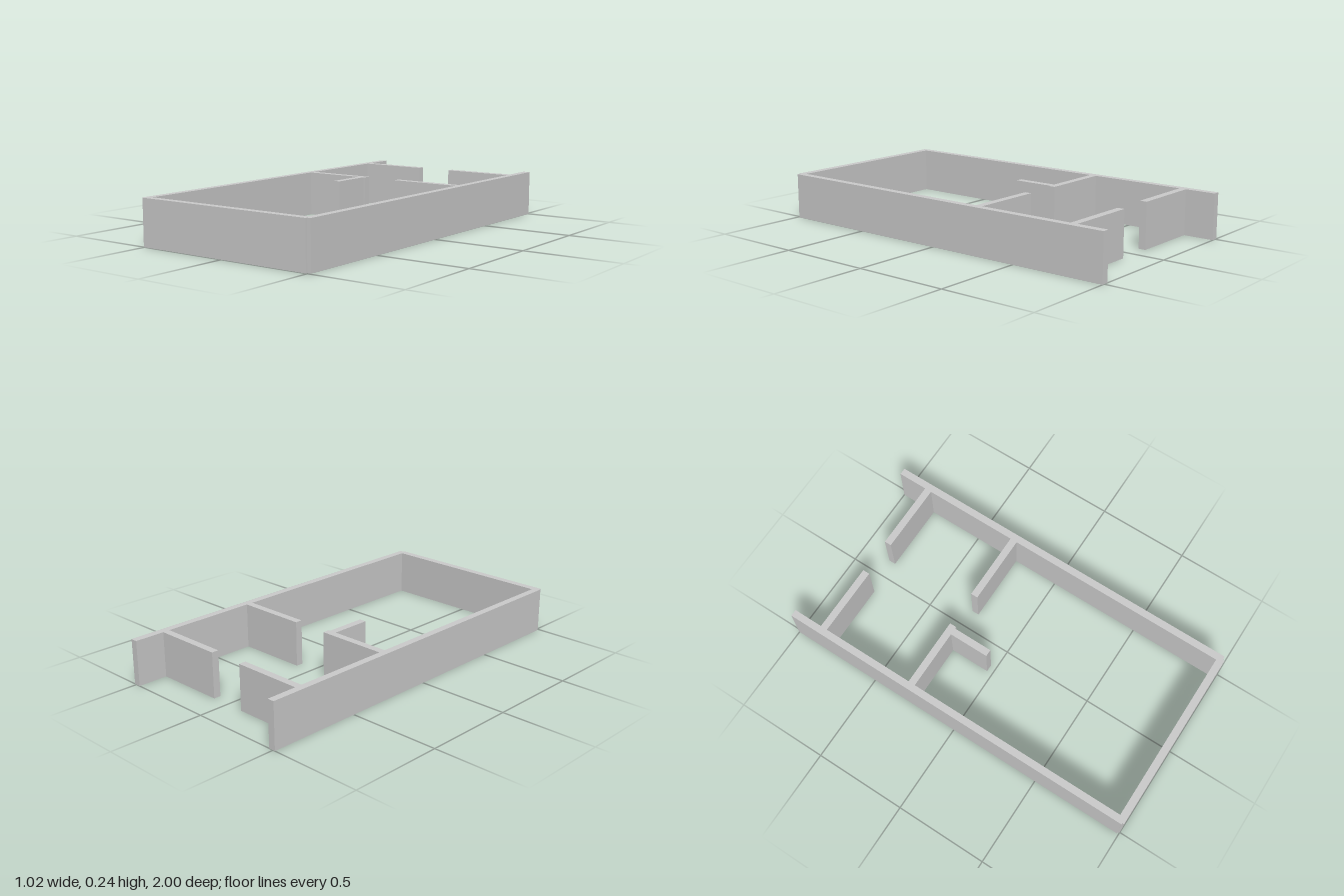
import * as THREE from 'three';

const HEIGHT = 0.24;

export function createModel() {
  const model = new THREE.Group();
  model.name = 'floorPlanWalls';
  const material = new THREE.MeshStandardMaterial({ color: 0xcccccc, flatShading: true });

  // Upright wall given by its plan extents
  function wall(name, x0, x1, z0, z1) {
    const mesh = new THREE.Mesh(new THREE.BoxGeometry(x1 - x0, HEIGHT, z1 - z0), material);
    mesh.position.set((x0 + x1) / 2, HEIGHT / 2, (z0 + z1) / 2);
    mesh.name = name;
    model.add(mesh);
  }

  // Outer walls, open at the back
  wall('rightWall', -0.512, -0.475, -1, 0.99);
  wall('leftWall', 0.474, 0.512, -1, 0.99);
  wall('frontWall', -0.505, 0.492, 0.961, 1);

  // Two cross partitions, each with a central doorway
  [['back', -0.837], ['middle', -0.287]].forEach(([place, z]) => {
    wall(place + 'PartitionRight', -0.475, -0.1, z, z + 0.038);
    wall(place + 'PartitionLeft', 0.096, 0.474, z, z + 0.038);
  });

  // Short return wall beside the middle doorway
  wall('returnWall', -0.148, -0.11, -0.249, -0.032);

  return model;
}
